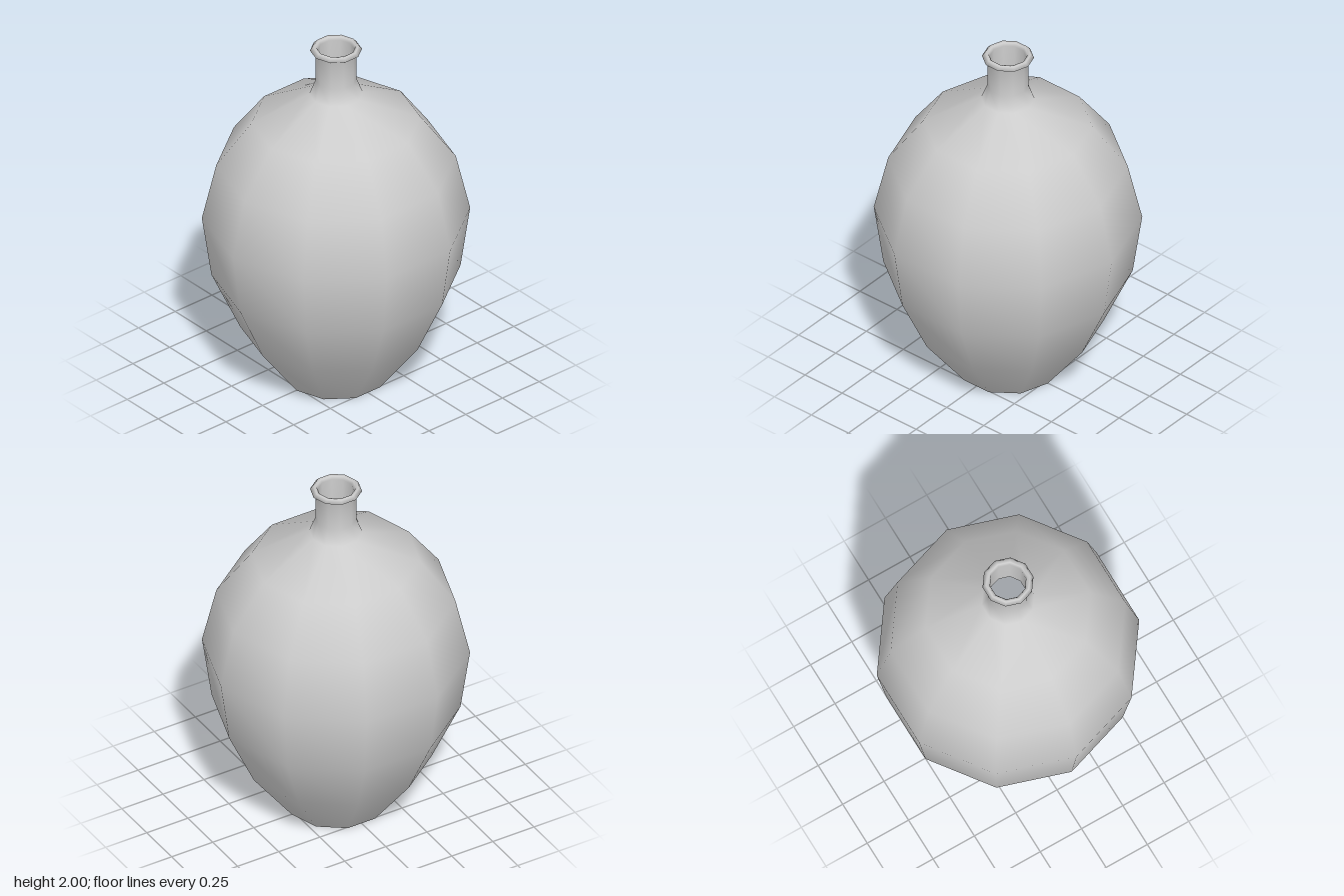
import * as THREE from 'three';

const SIDES = 10;

export function createModel() {
  const model = new THREE.Group();
  model.name = 'vase';
  const material = new THREE.MeshStandardMaterial({ color: 0xcccccc });

  // Ten-sided wall as [radius, height]: body, shoulder, neck, lip, then down inside the neck
  const profile = [
    [0.27, 0], [0.5, 0.305], [0.65, 0.63], [0.7, 0.98], [0.625, 1.3], [0.44, 1.55],
    [0.14, 1.715], [0.107, 1.8], [0.107, 1.96], [0.136, 1.98], [0.118, 2],
    [0.104, 1.997], [0.096, 1.98], [0.096, 1.8],
  ].map(([r, y]) => new THREE.Vector2(r, y));
  const wall = new THREE.Mesh(new THREE.LatheGeometry(profile, SIDES, Math.PI / 2), material);
  wall.name = 'bodyNeckAndLip';
  model.add(wall);

  // Flat base, facing down
  const base = new THREE.Mesh(new THREE.CircleGeometry(profile[0].x, SIDES), material);
  base.name = 'base';
  base.rotation.x = Math.PI / 2;
  model.add(base);

  return model;
}
